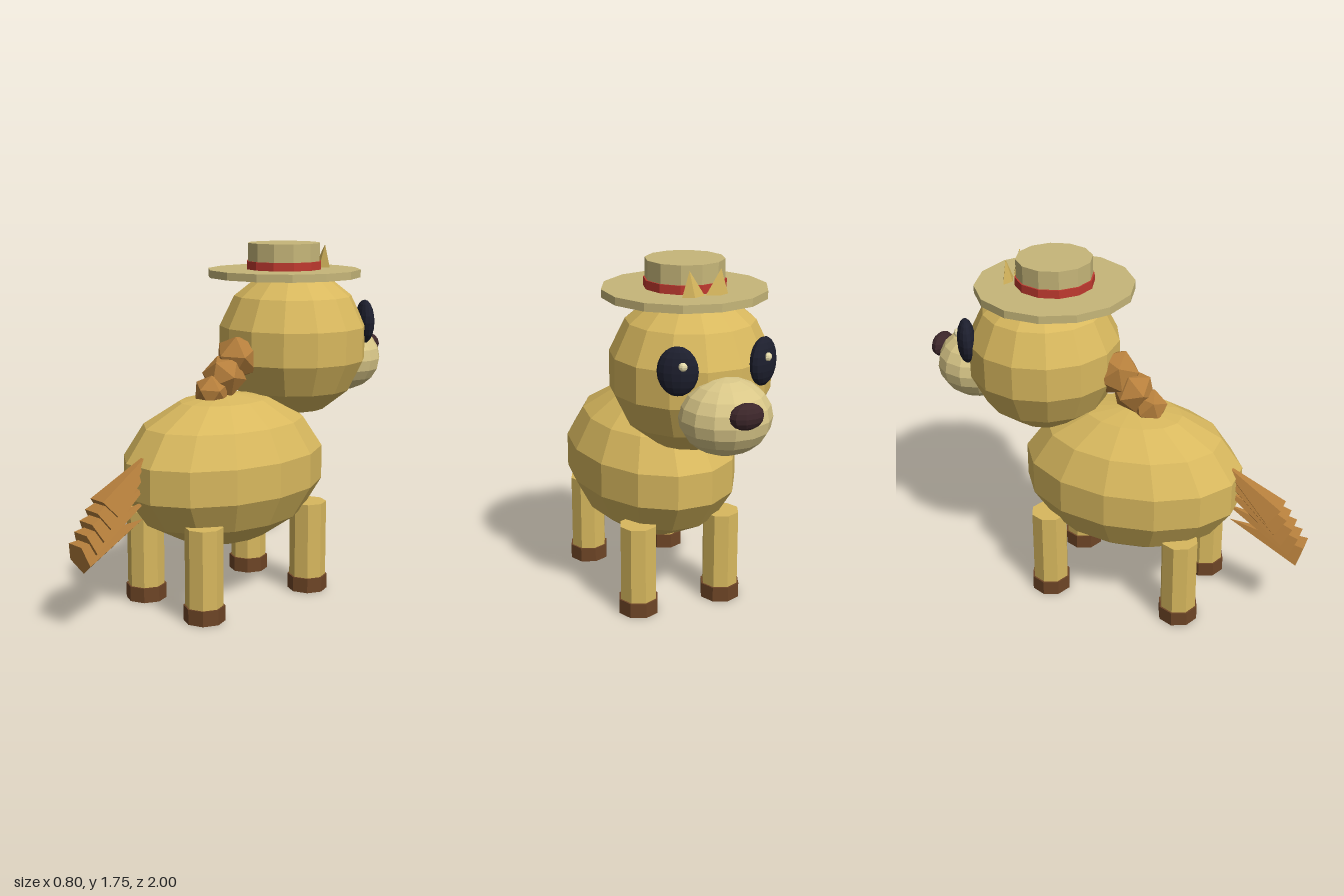
import * as THREE from 'three';

const mat = (name, color) => {
  const m = new THREE.MeshStandardMaterial({ color, flatShading: true });
  m.name = name;
  return m;
};

export function createModel() {
  const coat = mat('golden coat', 0xd8b85e);
  const cream = mat('cream muzzle', 0xd9c788);
  const straw = mat('straw', 0xc6b679);
  const red = mat('red ribbon', 0xc0392f);
  const hair = mat('brown hair', 0xb67f3c);
  const hoofBrown = mat('hoof brown', 0x6e4526);
  const noseBrown = mat('nose brown', 0x3c262a);
  const eyeBlack = mat('eye black', 0x1d1f2e);
  const glintPale = mat('eye glint', 0xeadfae);

  const model = new THREE.Group();
  model.name = 'ponyInHat';

  const add = (name, geo, material, x, y, z, parent = model) => {
    const m = new THREE.Mesh(geo, material);
    m.name = name;
    m.position.set(x, y, z);
    parent.add(m);
    return m;
  };
  const ellipsoid = (rx, ry, rz, w, h) => new THREE.SphereGeometry(1, w, h).scale(rx, ry, rz);

  // Body, head and face
  add('body', ellipsoid(0.41, 0.38, 0.572, 14, 7), coat, 0, 0.66, 0.09);
  add('head', ellipsoid(0.384, 0.38, 0.384, 14, 7), coat, 0, 1.245, -0.38);
  add('muzzle', ellipsoid(0.212, 0.175, 0.205, 14, 10), cream, 0, 1.128, -0.75);
  add('nose', ellipsoid(0.082, 0.06, 0.047, 10, 8), noseBrown, 0, 1.185, -0.953);

  for (const s of [-1, 1]) {
    const side = s > 0 ? 'Right' : 'Left';

    // Eye disc facing outward, with a small glint towards the muzzle
    const eye = new THREE.Group();
    eye.name = 'eye' + side;
    eye.position.set(s * 0.208, 1.34, -0.7);
    eye.rotation.set(0, Math.PI - s * 0.55, 0);
    model.add(eye);
    add('eyeball', ellipsoid(0.092, 0.112, 0.045, 14, 10), eyeBlack, 0, 0, 0, eye);
    add('glint', ellipsoid(0.02, 0.02, 0.015, 8, 6), glintPale, s * 0.028, 0.032, 0.042, eye);

    // Ear tip poking through the brim
    const earGeo = new THREE.ConeGeometry(0.115, 0.25, 4).scale(1, 1, 0.45);
    const ear = add('ear' + side, earGeo, coat, s * 0.06, 1.612, -0.533);
    ear.rotation.z = -s * 0.14;

    // Legs and hooves
    for (const [end, z] of [['front', -0.28], ['hind', 0.42]]) {
      add(end + 'Leg' + side, new THREE.CylinderGeometry(0.092, 0.092, 0.42, 8), coat, s * 0.222, 0.25, z);
      add(end + 'Hoof' + side, new THREE.CylinderGeometry(0.101, 0.101, 0.075, 8), hoofBrown, s * 0.222, 0.0375, z);
    }
  }

  // Straw hat
  add('hatBrim', new THREE.CylinderGeometry(0.387, 0.387, 0.038, 14), straw, 0, 1.6, -0.315);
  add('hatCrown', new THREE.CylinderGeometry(0.185, 0.185, 0.185, 12), straw, 0, 1.6575, -0.315);
  add('hatRibbon', new THREE.CylinderGeometry(0.192, 0.192, 0.045, 12), red, 0, 1.6375, -0.315);

  // Mane tufts running down the neck
  const tufts = [[0.118, 1.2, 0.0, 0.4], [0.11, 1.115, 0.09, 0.9], [0.09, 1.045, 0.175, 1.5]];
  tufts.forEach(([r, y, z, turn], i) => {
    const tuft = add('maneTuft' + (i + 1), new THREE.IcosahedronGeometry(r, 0), hair, 0, y, z);
    tuft.rotation.set(turn, turn * 0.5, 0.3);
  });

  // Tail: five overlapping spikes fanning downwards, wide ends outward
  const strands = 5;
  for (let i = 0; i < strands; i++) {
    const t = i / (strands - 1);
    const tilt = THREE.MathUtils.degToRad(40 - 23 * t);
    const y = 0.576 - 0.2 * t;
    const z = 0.83 + 0.15 * t;
    const length = 0.39;
    const geo = new THREE.ConeGeometry(0.083, length, 5).rotateY(Math.PI);
    const strand = add('tailStrand' + (i + 1), geo, hair, 0,
      y + Math.sin(tilt) * length / 2, z - Math.cos(tilt) * length / 2);
    strand.rotation.x = tilt - Math.PI / 2;
  }

  return model;
}
